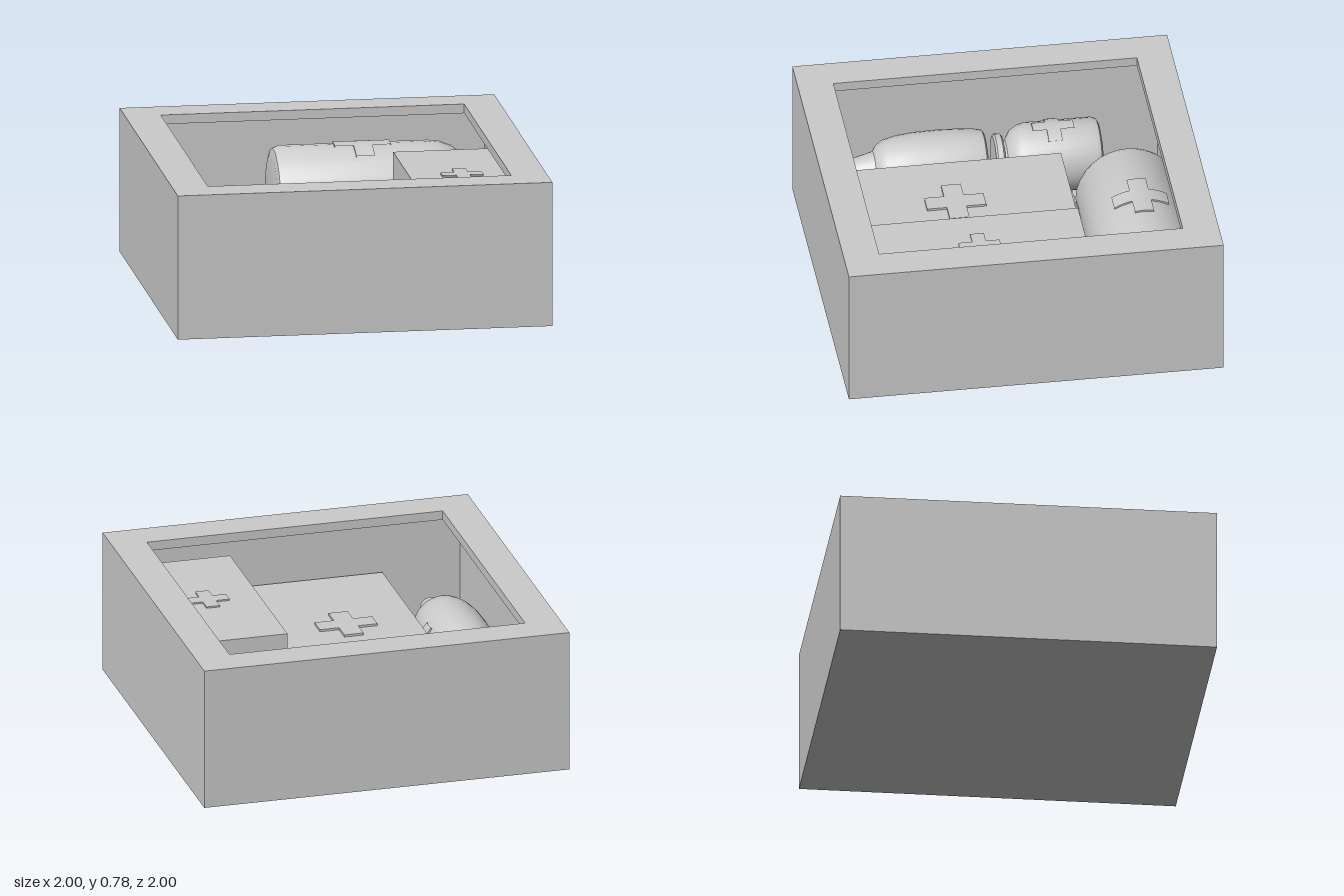
import * as THREE from 'three';
import { toCreasedNormals } from 'three/addons/utils/BufferGeometryUtils.js';

const grey = new THREE.MeshStandardMaterial({ color: 0xcccccc });
const greyDouble = new THREE.MeshStandardMaterial({ color: 0xcccccc, side: THREE.DoubleSide });
const FLOOR = 0.06;

function part(name, geometry, material = grey) {
  const mesh = new THREE.Mesh(geometry, material);
  mesh.name = name;
  return mesh;
}

function square(half, Type = THREE.Shape) {
  const s = new Type();
  s.moveTo(-half, -half).lineTo(half, -half).lineTo(half, half).lineTo(-half, half).closePath();
  return s;
}

// Square frame lying flat, from y0 to y1
function frame(name, inner, y0, y1) {
  const shape = square(1);
  shape.holes.push(square(inner, THREE.Path));
  const g = new THREE.ExtrudeGeometry(shape, { depth: y1 - y0, bevelEnabled: false });
  g.rotateX(-Math.PI / 2).translate(0, y0, 0);
  return part(name, g);
}

// Raised plus sign facing +z, its back slightly sunk
function flatCross(size, raise) {
  const a = size / 2, b = size / 6;
  const pts = [[b, -a], [b, -b], [a, -b], [a, b], [b, b], [b, a],
    [-b, a], [-b, b], [-a, b], [-a, -b], [-b, -b], [-b, -a]];
  const shape = new THREE.Shape(pts.map(p => new THREE.Vector2(...p)));
  const g = new THREE.ExtrudeGeometry(shape, { depth: raise + 0.01, bevelEnabled: false });
  return part('cross', g.translate(0, 0, -0.01));
}

// Carton with its top at `top`, from x0..x1 and z0..z1
function carton(name, x0, x1, z0, z1, top) {
  const group = new THREE.Group();
  group.name = name;
  const g = new THREE.BoxGeometry(x1 - x0, top - FLOOR, z1 - z0);
  g.translate((x0 + x1) / 2, (top + FLOOR) / 2, (z0 + z1) / 2);
  group.add(part('carton', g));
  return group;
}

function addCross(group, size, raise, x, y, z, rx, ry) {
  const cross = flatCross(size, raise);
  cross.position.set(x, y, z);
  cross.rotation.set(rx, ry, 0);
  group.add(cross);
}

// Bottle turned from [radius, height] pairs, axis along y before it is laid down
function bottle(name, profile, cross) {
  const group = new THREE.Group();
  group.name = name;
  const pts = profile.map(p => new THREE.Vector2(...p));
  group.add(part('bottleBody', toCreasedNormals(new THREE.LatheGeometry(pts, 32), 0.6)));
  if (cross) {
    // plus sign wrapped around the body: one long bar and one wide bar
    const { r, at, size, angle } = cross;
    for (const [len, arc] of [[size, size / 3], [size / 3, size]]) {
      const h = len / 2, o = r + 0.008, i = r - 0.01;
      const bar = [[i, -h], [o, -h], [o, h], [i, h]].map(([a, b]) => new THREE.Vector2(a, at + b));
      const g = new THREE.LatheGeometry(bar, 10, angle - arc / r / 2, arc / r);
      group.add(part('cross', toCreasedNormals(g, 0.6), greyDouble));
    }
  }
  return group;
}

export function createModel() {
  const model = new THREE.Group();

  // Open crate with an overhanging rim
  const floor = part('crateFloor', new THREE.BoxGeometry(2, FLOOR, 2));
  floor.position.y = FLOOR / 2;
  model.add(floor, frame('crateWalls', 0.94, FLOOR, 0.73), frame('crateRim', 0.81, 0.73, 0.78));

  // Low wide carton with crosses on its top and back
  const low = carton('lowCarton', -0.51, 0.3, -0.36, 0.92, 0.42);
  addCross(low, 0.315, 0.012, -0.128, 0.42, 0.262, -Math.PI / 2, 0);
  addCross(low, 0.315, 0.012, -0.128, 0.24, -0.36, 0, Math.PI);
  model.add(low);

  // Tall narrow carton with crosses on its top and side
  const tall = carton('tallCarton', 0.355, 0.92, -0.32, 0.81, 0.654);
  addCross(tall, 0.22, 0.008, 0.635, 0.654, 0.245, -Math.PI / 2, 0);
  addCross(tall, 0.22, 0.008, 0.355, 0.36, 0.25, 0, -Math.PI / 2);
  model.add(tall);

  // Large bottle lying along x
  const large = bottle('largeBottle', [
    [0, 0], [0.23, 0], [0.265, 0.01], [0.28, 0.045], [0.28, 0.84], [0.272, 0.9], [0.25, 0.96],
    [0.18, 1.05], [0.11, 1.09], [0.11, 1.11], [0.14, 1.11], [0.14, 1.17], [0, 1.17],
  ], { r: 0.28, at: 0.48, size: 0.3, angle: -Math.PI / 2 });
  large.rotation.z = -Math.PI / 2;
  large.position.set(-0.24, 0.34, -0.67);
  model.add(large);

  // Jar with a flat lid, lying along z
  const jar = bottle('jar', [
    [0, 0], [0.16, 0], [0.18, 0.01], [0.19, 0.035], [0.19, 0.39], [0.18, 0.43], [0.155, 0.47],
    [0.105, 0.5], [0.105, 0.515], [0.13, 0.515], [0.143, 0.525], [0.143, 0.555], [0.13, 0.565], [0, 0.565],
  ], { r: 0.19, at: 0.25, size: 0.22, angle: Math.PI });
  jar.rotation.x = Math.PI / 2;
  jar.position.set(-0.737, 0.25, -0.6);
  model.add(jar);

  // Squeeze bottle with a tapered nozzle, lying along z
  const squeeze = bottle('squeezeBottle', [
    [0, 0], [0.155, 0], [0.17, 0.01], [0.177, 0.04], [0.186, 0.13], [0.19, 0.24], [0.187, 0.38],
    [0.177, 0.47], [0.16, 0.54], [0.135, 0.575], [0.105, 0.595], [0.06, 0.77], [0.05, 0.77],
    [0.05, 0.79], [0, 0.79],
  ], { r: 0.19, at: 0.25, size: 0.25, angle: Math.PI / 2 });
  squeeze.rotation.x = Math.PI / 2;
  squeeze.position.set(-0.737, 0.25, 0.01);
  model.add(squeeze);

  // Small vial lying along z
  const vial = bottle('vial', [
    [0, 0], [0.095, 0], [0.108, 0.02], [0.108, 0.39], [0.1, 0.43], [0.06, 0.48], [0.035, 0.49],
    [0.035, 0.5], [0.046, 0.505], [0.046, 0.545], [0.04, 0.55], [0, 0.55],
  ]);
  vial.rotation.x = Math.PI / 2;
  vial.position.set(-0.38, 0.17, -0.925);
  model.add(vial);

  return model;
}
